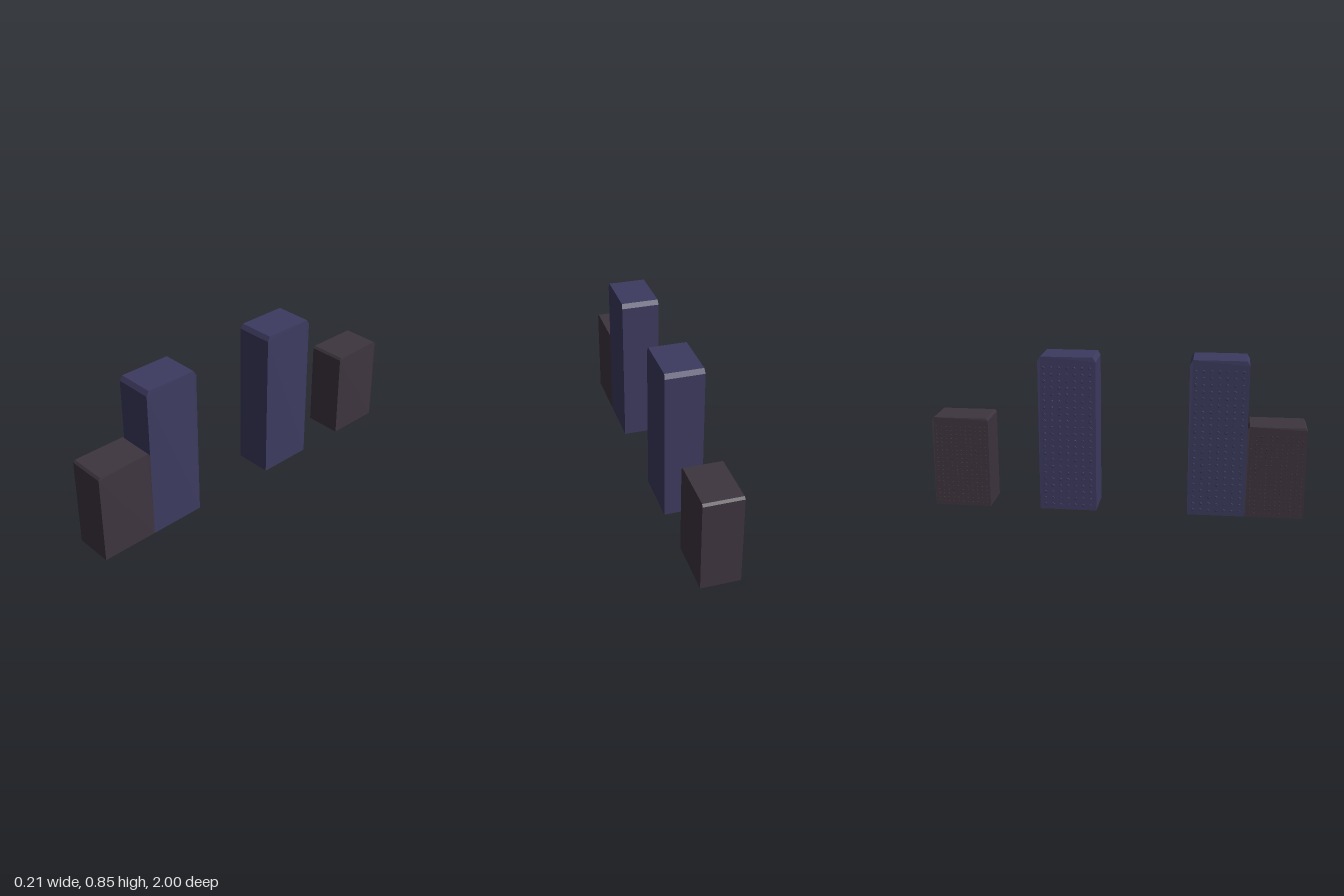
import * as THREE from 'three';
import { mergeGeometries } from 'three/addons/utils/BufferGeometryUtils.js';

const DEPTH = 0.308, RIGHT = -0.103, LEFT = 0.105, STUD = 0.002;

// Upright block: chamfered profile in z/y, extruded across x, narrowing slightly at the top
function blockGeometry(height, inset, drop) {
  const h = DEPTH / 2;
  const profile = new THREE.Shape([
    [-h, 0], [h, 0], [h, height - drop], [h - inset, height],
    [-h + inset, height], [-h, height - drop],
  ].map(([z, y]) => new THREE.Vector2(z, y)));
  const geo = new THREE.ExtrudeGeometry(profile, { depth: LEFT - RIGHT, bevelEnabled: false });
  geo.rotateY(-Math.PI / 2).translate(LEFT, 0, 0);
  const pos = geo.attributes.position;
  for (let i = 0; i < pos.count; i++) {
    if (pos.getY(i) > height - drop / 2) pos.setX(i, pos.getX(i) - Math.sign(pos.getX(i)) * 0.002);
  }
  geo.computeVertexNormals();
  return geo;
}

// Grid of tiny low studs covering the -x face
function studGeometry(height, cols, rows, radius) {
  const studs = [];
  const stepZ = DEPTH / (cols + 0.5), stepY = (height - 0.05) / rows;
  for (let r = 0; r < rows; r++) {
    for (let c = 0; c < cols; c++) {
      const stud = new THREE.CylinderGeometry(radius * 0.8, radius, STUD, 6);
      stud.rotateZ(Math.PI / 2);
      stud.translate(RIGHT - STUD / 2, 0.01 + (r + 0.5) * stepY, (c - (cols - 1) / 2) * stepZ);
      studs.push(stud);
    }
  }
  return mergeGeometries(studs);
}

export function createModel() {
  const model = new THREE.Group();
  const kinds = {
    tall: { color: 0x3d3b60, height: 0.845, inset: 0.015, drop: 0.025, cols: 7, rows: 22, radius: 0.008 },
    short: { color: 0x3e353f, height: 0.498, inset: 0.01, drop: 0.013, cols: 11, rows: 20, radius: 0.005 },
  };
  const layout = [
    ['frontShortBlock', 'short', 0.846],
    ['frontTallBlock', 'tall', 0.538],
    ['rearTallBlock', 'tall', -0.261],
    ['rearShortBlock', 'short', -0.846],
  ];
  for (const [name, kind, z] of layout) {
    const k = kinds[kind];
    const material = new THREE.MeshStandardMaterial({ color: k.color, flatShading: true });
    const block = new THREE.Group();
    block.name = name;
    const body = new THREE.Mesh(blockGeometry(k.height, k.inset, k.drop), material);
    body.name = 'body';
    const studs = new THREE.Mesh(studGeometry(k.height, k.cols, k.rows, k.radius), material);
    studs.name = 'sideStuds';
    block.add(body, studs);
    block.position.z = z;
    model.add(block);
  }
  return model;
}
